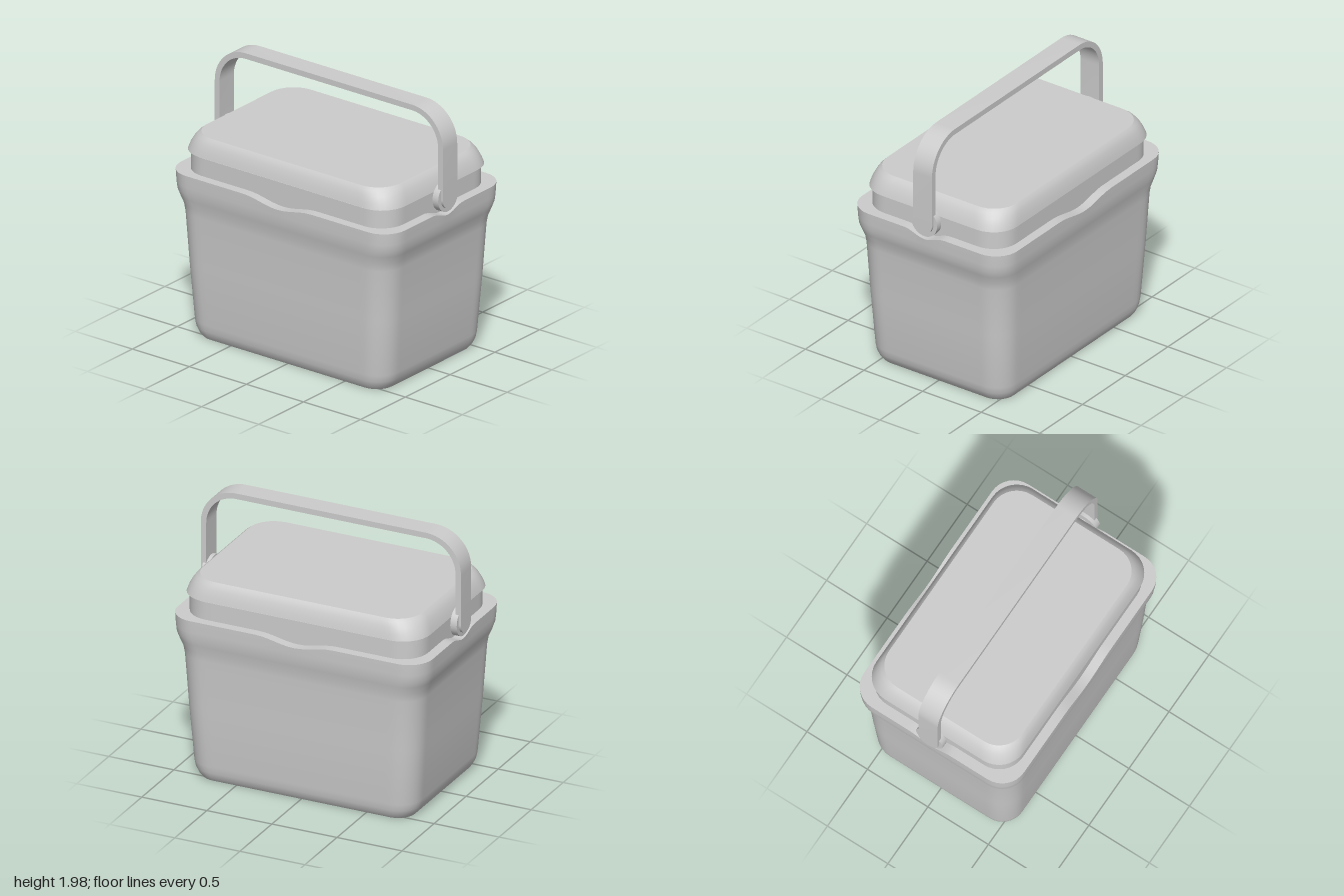
import * as THREE from 'three';
import { toCreasedNormals } from 'three/addons/utils/BufferGeometryUtils.js';

const grey = new THREE.MeshStandardMaterial({ color: 0xcccccc });

// Soft dip centred on an edge, `half` wide to each side
const dip = (t, half) => (Math.abs(t) < half ? 0.042 * Math.cos((Math.PI * t) / (2 * half)) ** 2 : 0);

// Points of a rounded rectangle at height y; dipped rings sag at the middle of each side
function ring([hx, hz, r, y, dipped = false]) {
  const pts = [];
  const corners = [[1, 1], [-1, 1], [-1, -1], [1, -1]];
  const arcs = 8, edges = 32;
  corners.forEach(([sx, sz], c) => {
    const arcPoint = (k, i) => {
      const [cx, cz] = corners[k % 4];
      const a = ((k % 4) + i / arcs) * Math.PI / 2;
      return [cx * (hx - r) + r * Math.cos(a), cz * (hz - r) + r * Math.sin(a)];
    };
    for (let i = 0; i < arcs; i++) pts.push([...arcPoint(c, i), y]);
    const [x0, z0] = arcPoint(c, arcs), [x1, z1] = arcPoint(c + 1, 0);
    for (let i = 0; i < edges; i++) {
      const x = x0 + (x1 - x0) * i / edges, z = z0 + (z1 - z0) * i / edges;
      const drop = !dipped ? 0 : c % 2 === 0 ? dip(x, 0.3) : dip(z, 0.17);
      pts.push([x, z, y - drop]);
    }
  });
  return pts;
}

// Skin through rings listed from bottom to top, with optional end caps
function loft(name, sections, capBottom, capTop) {
  const rings = sections.map(ring);
  const n = rings[0].length, pos = [], index = [];
  rings.forEach((pts) => pts.forEach(([x, z, y]) => pos.push(x, y, z)));
  for (let k = 0; k < rings.length - 1; k++) {
    for (let i = 0; i < n; i++) {
      const a = k * n + i, b = k * n + (i + 1) % n;
      index.push(a, a + n, b, b, a + n, b + n);
    }
  }
  const cap = (k, up) => {
    const centre = pos.length / 3;
    pos.push(0, sections[k][3], 0);
    for (let i = 0; i < n; i++) {
      const a = k * n + i, b = k * n + (i + 1) % n;
      if (up) index.push(centre, b, a);
      else index.push(centre, a, b);
    }
  };
  if (capBottom) cap(0, false);
  if (capTop) cap(rings.length - 1, true);
  const geo = new THREE.BufferGeometry();
  geo.setAttribute('position', new THREE.Float32BufferAttribute(pos, 3));
  geo.setIndex(index);
  return part(name, toCreasedNormals(geo, 0.6));
}

function part(name, geo) {
  const mesh = new THREE.Mesh(geo, grey);
  mesh.name = name;
  return mesh;
}

// Cylinder lying along x between x0 and x1
function pin(name, r, x0, x1, y, start = 0, sweep = Math.PI * 2) {
  const geo = new THREE.CylinderGeometry(r, r, x1 - x0, 32, 1, false, start, sweep);
  geo.rotateZ(Math.PI / 2).translate((x0 + x1) / 2, y, 0);
  return part(name, geo);
}

// Flat strap arch, seen from the front
function handleStrap(pivotY) {
  const X = 1, top = 1.98, r = 0.27, t = 0.042;
  const s = new THREE.Shape();
  s.moveTo(X, pivotY);
  s.lineTo(X, top - r);
  s.absarc(X - r, top - r, r, 0, Math.PI / 2, false);
  s.lineTo(-X + r, top);
  s.absarc(-X + r, top - r, r, Math.PI / 2, Math.PI, false);
  s.lineTo(-X, pivotY);
  s.lineTo(-X + t, pivotY);
  s.lineTo(-X + t, top - r);
  s.absarc(-X + r, top - r, r - t, Math.PI, Math.PI / 2, true);
  s.lineTo(X - r, top - t);
  s.absarc(X - r, top - r, r - t, Math.PI / 2, 0, true);
  s.lineTo(X - t, pivotY);
  s.closePath();
  const geo = new THREE.ExtrudeGeometry(s, { depth: 0.16, bevelEnabled: false, curveSegments: 8 });
  geo.translate(0, 0, -0.08);
  return part('handleStrap', toCreasedNormals(geo, 0.6));
}

export function createModel() {
  const model = new THREE.Group();
  model.name = 'coolBox';

  // Tapered tub with a flared rim and a ledge around the lid
  model.add(loft('tub', [
    [0.81, 0.54, 0.13, 0],
    [0.835, 0.562, 0.15, 0.03],
    [0.855, 0.575, 0.16, 0.07],
    [0.865, 0.582, 0.165, 0.12],
    [0.897, 0.605, 0.17, 0.55],
    [0.922, 0.622, 0.175, 0.93],
    [0.931, 0.628, 0.175, 0.99],
    [0.955, 0.643, 0.18, 1.05],
    [0.97, 0.654, 0.18, 1.1],
    [0.975, 0.658, 0.18, 1.15],
    [0.98, 0.661, 0.18, 1.237, true],
    [0.88, 0.57, 0.17, 1.237, true],
  ], true, false));

  // Lid: straight neck below, overhanging domed cover above
  model.add(loft('lidNeck', [
    [0.905, 0.592, 0.19, 1.15],
    [0.905, 0.592, 0.19, 1.37],
    [0.89, 0.577, 0.18, 1.37],
    [0.89, 0.577, 0.18, 1.385],
  ], false, false));
  model.add(loft('lidCover', [
    [0.87, 0.56, 0.18, 1.38],
    [0.925, 0.607, 0.2, 1.38],
    [0.912, 0.598, 0.2, 1.42],
    [0.89, 0.583, 0.2, 1.465],
    [0.868, 0.567, 0.2, 1.497],
    [0.845, 0.551, 0.19, 1.515],
  ], false, true));

  // Carrying handle with rounded ends, pivot discs and pins
  const handle = new THREE.Group();
  handle.name = 'handle';
  const pivotY = 1.33;
  handle.add(handleStrap(pivotY));
  for (const s of [1, -1]) {
    const span = (a, b) => (s > 0 ? [a, b] : [-b, -a]);
    handle.add(pin('strapEnd', 0.08, ...span(0.958, 1), pivotY, Math.PI, Math.PI));
    handle.add(pin('pivotDisc', 0.11, ...span(0.932, 0.982), pivotY));
    handle.add(pin('pivotPin', 0.045, ...span(0.88, 0.94), pivotY));
  }
  model.add(handle);
  return model;
}
